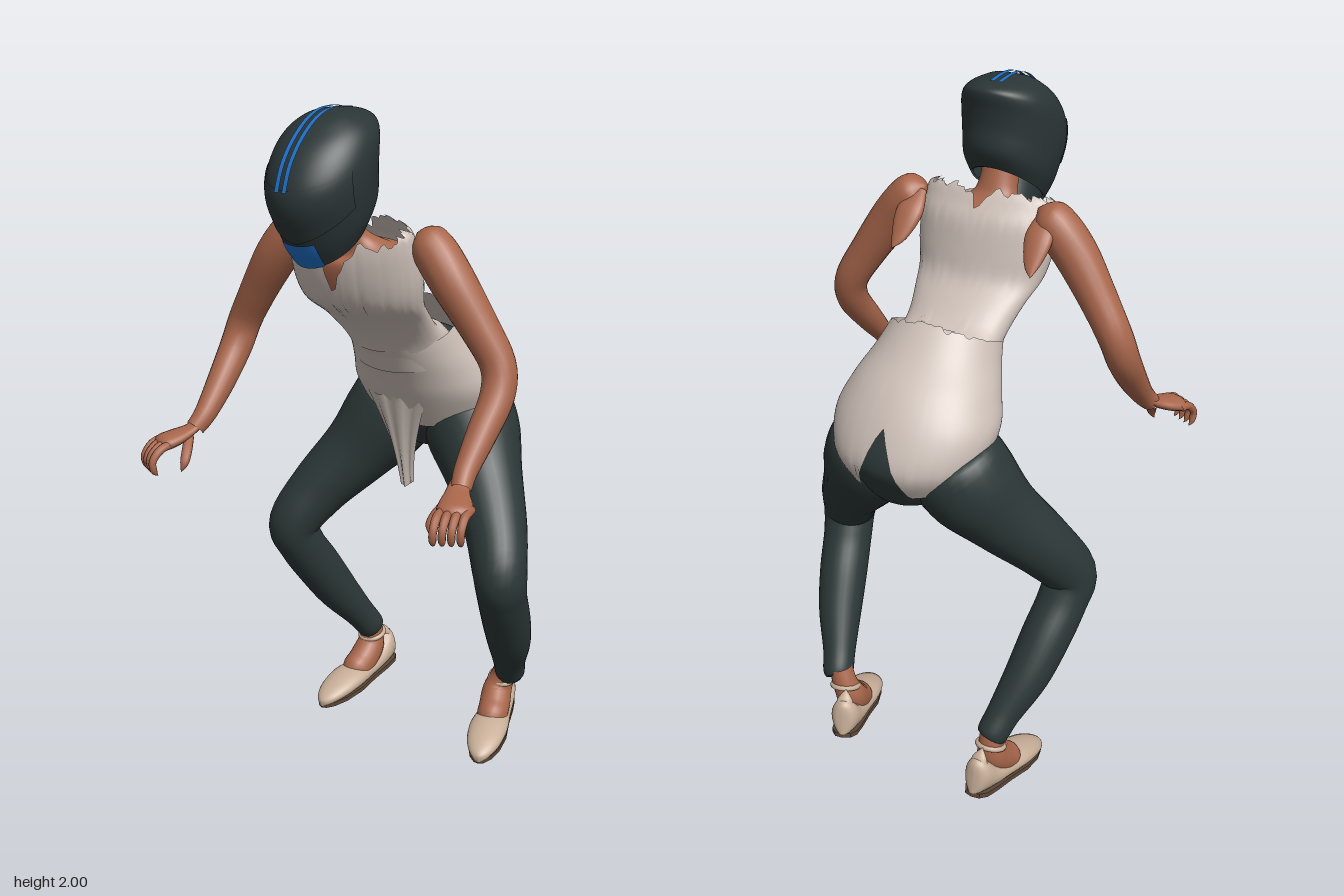
import * as THREE from 'three';
import { mergeVertices } from 'three/addons/utils/BufferGeometryUtils.js';

const PI = Math.PI;
const mat = (name, color, double) => {
  const m = new THREE.MeshStandardMaterial({ color });
  m.name = name;
  if (double) m.side = THREE.DoubleSide;
  return m;
};

// Smooth surface sampled from f(u, v), u and v in 0..1
function grid(nu, nv, f) {
  const pos = [], idx = [];
  for (let j = 0; j <= nv; j++)
    for (let i = 0; i <= nu; i++) pos.push(...f(i / nu, j / nv));
  for (let j = 0; j < nv; j++)
    for (let i = 0; i < nu; i++) {
      const a = j * (nu + 1) + i, b = a + nu + 1;
      idx.push(a, a + 1, b + 1, a, b + 1, b);
    }
  let g = new THREE.BufferGeometry();
  g.setAttribute('position', new THREE.Float32BufferAttribute(pos, 3));
  g.setIndex(idx);
  g = mergeVertices(g, 1e-5);
  g.computeVertexNormals();
  return g;
}

// Catmull-Rom interpolation through rows of numbers
function mix(rows, t) {
  const n = rows.length - 1, i = Math.max(0, Math.min(n - 1, Math.floor(t))), f = t - i;
  const at = k => rows[Math.max(0, Math.min(n, k))];
  return rows[0].map((_, c) => {
    const [a, b, d, e] = [at(i - 1)[c], at(i)[c], at(i + 1)[c], at(i + 2)[c]];
    return b + 0.5 * f * (d - a + f * (2 * a - 5 * b + 4 * d - e + f * (3 * (b - d) + e - a)));
  });
}

// Tilted body rings [frontZ, frontY, backZ, backY, halfWidth]; a = 0 faces front
const body = (rings, cx = 0, k = 1) => (a, t) => {
  const [fz, fy, bz, by, w] = mix(rings, t), c = Math.cos(a) * k / 2;
  return [cx + w * k * Math.sin(a), (fy + by) / 2 + (fy - by) * c, (fz + bz) / 2 + (fz - bz) * c];
};
const wrap = (P, t0, t1, nu = 96, nv = 30) => grid(nu, nv, (u, v) => {
  const a = (u * 2 - 1) * PI, lo = t0(a), hi = t1(a);
  return P(a, lo + (hi - lo) * v);
});
// Slightly tighter copy of body rings
const tighten = (rings, d) => rings.map(([fz, fy, bz, by, w]) => [fz - d, fy, bz + d, by, w * 0.94]);

// Round limb through points [x, y, z, radius], flattened by k
function limb(pts, k = 1, ref = [1, 0, 0], nu = 20, per = 5) {
  const n = pts.length - 1, R = new THREE.Vector3(...ref);
  return grid(nu, n * per, (u, v) => {
    const t = v * n, p = mix(pts, t), q = mix(pts, Math.min(n, t + 0.05)), o = mix(pts, Math.max(0, t - 0.05));
    const T = new THREE.Vector3(q[0] - o[0], q[1] - o[1], q[2] - o[2]).normalize();
    const B = new THREE.Vector3().crossVectors(T, R).normalize();
    const N = new THREE.Vector3().crossVectors(B, T);
    const a = (u % 1) * 2 * PI, r = Math.max(0, p[3]), c = Math.cos(a) * r, s = Math.sin(a) * r * k;
    return [p[0] + N.x * c + B.x * s, p[1] + N.y * c + B.y * s, p[2] + N.z * c + B.z * s];
  });
}

export function createModel() {
  const root = new THREE.Group();
  const skin = mat('skin', 0xa8664b), shirt = mat('shirt cloth', 0xccbfb7, true);
  const dark = mat('trouser cloth', 0x2c3737), shell = mat('helmet shell', 0x2b3536, true);
  const blue = mat('blue trim', 0x2070c8, true), shoe = mat('shoe', 0xc7ae98), sole = mat('sole', 0x5c4838);
  const add = (name, g, m, parent = root) => {
    const mesh = new THREE.Mesh(g, m);
    mesh.name = name;
    parent.add(mesh);
    return mesh;
  };
  const bump = (x, c, w) => Math.exp(-(((x - c) / w) ** 2));
  const vee = (x, w) => Math.max(0, 1 - x / w);
  const jag = a => 0.16 * Math.sin(17 * a) + 0.12 * Math.sin(31 * a + 1);

  // Helmet, visor and blue trim
  const helmet = [[.335, 1.59, .12, 1.755, .104], [.37, 1.635, .095, 1.81, .126], [.40, 1.69, .1, 1.875, .138],
    [.427, 1.745, .097, 1.925, .143], [.432, 1.80, .09, 1.965, .141], [.41, 1.86, .096, 1.984, .131],
    [.375, 1.91, .125, 1.994, .112], [.33, 1.95, .17, 1.998, .083], [.29, 1.977, .215, 2.0, .047], [.255, 1.99, .255, 1.99, 0]];
  const head = k => body(helmet, -0.013, k);
  add('helmet', wrap(head(1), () => 0, () => 9, 64, 45), shell);
  add('helmetLining', wrap(head(0.93), () => 0.1, () => 2, 40, 6), shell);
  add('visor', grid(30, 14, (u, v) => {
    const a = (u * 2 - 1) * 1.25;
    return head(1.02)(a, 1.5 + 0.5 * Math.abs(a) + v * (2.7 - 0.5 * Math.abs(a)));
  }), shell);
  add('chinTrim', grid(16, 6, (u, v) => head(1.03)((u * 2 - 1) * (0.5 - 0.1 * v), v * 1.45)), blue);
  const crest = [[.435, 1.80], [.412, 1.86], [.377, 1.91], [.332, 1.952], [.29, 1.979], [.245, 1.995], [.19, 1.999], [.13, 1.994]];
  for (const x of [-0.034, -0.009])
    add('helmetStripe', grid(1, 40, (u, v) => {
      const [z, y] = mix(crest, v * 7);
      return [x + (u - 0.5) * 0.014, y + 0.004, z + 0.004];
    }), blue);

  // Upper body and neck under the torn top
  const chest = [[-.01, 1.22, -.24, 1.30, .165], [.02, 1.27, -.185, 1.355, .152], [.06, 1.33, -.12, 1.375, .155],
    [.13, 1.40, -.06, 1.42, .172], [.20, 1.45, -.01, 1.47, .192], [.23, 1.51, .01, 1.54, .207], [.245, 1.58, .03, 1.62, .21],
    [.245, 1.625, .06, 1.665, .205], [.24, 1.65, .085, 1.70, .195], [.24, 1.66, .11, 1.715, .15]];
  const neck = [...tighten(chest.slice(2, 7), 0.008),
    [.215, 1.60, .09, 1.64, .15], [.215, 1.625, .13, 1.665, .085], [.24, 1.67, .15, 1.70, .058], [.30, 1.78, .19, 1.82, .058]];
  add('upperBodySkin', wrap(body(neck), () => 0, () => 8, 48, 40), skin);
  add('tornTop', wrap(body(chest), a => Math.min(1.6, 5 * vee(PI - Math.abs(a), 0.5)), a => {
    const b = Math.abs(a);
    return 8.1 - 0.9 * bump(b, 0.75, 0.45) + 0.3 * bump(b, 1.5, 0.25) - 3.2 * vee(b, 0.42) - 1.2 * vee(PI - b, 0.25) + 1.6 * jag(a);
  }), shirt);

  // Hips: trousers beneath the torn lower shirt
  const hips = [[-.13, 1.03, -.45, .99, .19], [-.10, 1.08, -.487, 1.07, .226], [-.065, 1.14, -.45, 1.17, .241],
    [-.03, 1.20, -.385, 1.26, .215], [.012, 1.26, -.30, 1.335, .182], [.045, 1.30, -.222, 1.41, .16]];
  const inner = [[-.28, .93, -.28, .93, 0], [-.2, .95, -.39, .93, .1], ...tighten(hips.slice(0, 4), 0.014),
    [-.06, 1.24, -.26, 1.32, .1], [-.14, 1.28, -.18, 1.31, 0]];
  add('trouserSeat', wrap(body(inner), () => 0, () => 7, 48, 40), dark);
  add('lowerShirt', wrap(body(hips), a => {
    const b = Math.abs(a);
    return bump(b, 1.4, 0.5) + 2.2 * vee(PI - b, 0.42) + 0.2 * jag(a);
  }, a => 4.75 + (0.2 + 0.7 * jag(a)) * bump(Math.abs(a), PI, 0.9) + 0.25 * bump(Math.abs(a), PI, 0.2)), shirt);
  // Hanging scrap at the front
  add('frontFlap', grid(12, 16, (u, v) => {
    const s = u * 2 - 1, w = 0.024 + 0.08 * v ** 1.5;
    return [-0.028 + 0.01 * v + s * w, 0.812 + 0.31 * v + 0.02 * Math.abs(s) * (1 - v), -0.155 + 0.078 * v - 0.02 * s * s + 0.006 * Math.sin(9 * s)];
  }), shirt);

  const armPts = [[.18, 1.67, .11, 0], [.205, 1.655, .11, .048], [.24, 1.625, .112, .062], [.30, 1.55, .115, .063], [.375, 1.44, .105, .055],
    [.435, 1.34, .098, .05], [.452, 1.26, .125, .048], [.45, 1.17, .2, .042], [.45, 1.09, .275, .033], [.46, 1.05, .315, .028]];
  const legPts = [[.09, 1.10, -.29, 0], [.10, 1.07, -.29, .125], [.145, .99, -.27, .142], [.22, .88, -.215, .115], [.31, .76, -.135, .094],
    [.367, .65, -.07, .08], [.362, .57, -.095, .074], [.343, .47, -.16, .073], [.32, .37, -.225, .066], [.285, .27, -.295, .05],
    [.265, .205, -.34, .042], [.263, .203, -.342, 0]];
  for (const s of [1, -1]) {
    const side = s > 0 ? 'left' : 'right';
    const at = (pts, d) => pts.map(([x, y, z, r]) => [s * x + d, y, z, r]);
    // Arm with a shoulder-blade flap
    add(side + 'Arm', limb(at(armPts, 0.008)), skin);
    add(side + 'ShoulderFlap', limb(at([[.2, 1.66, .1, .02], [.207, 1.61, .05, .042], [.213, 1.55, 0, .025], [.222, 1.52, -.03, 0]], 0), 0.5), skin);

    // Hand: palm, four curled fingers and a thumb
    const hand = new THREE.Group();
    hand.name = side + 'Hand';
    root.add(hand);
    add('palm', limb(at([[.452, 1.065, .295, .026], [.465, 1.045, .33, .034], [.485, 1.03, .37, .046], [.502, 1.02, .405, .044], [.51, 1.01, .425, 0]], 0.002),
      0.45, [0.85 * s, 0, -0.5], 16), skin, hand);
    for (let i = 0; i < 4; i++) {
      const x = 0.466 + i * 0.021, z = 0.428 - i * 0.012;
      add('finger', limb(at([[x, 1.022, z - .03, .012], [x + .008, 1.015, z + .015, .0125], [x + .015, .985, z + .044, .011],
        [x + .013, .955, z + .042, .0095], [x + .008, .94, z + .03, 0]], 0.002), 1, [1, 0, 0], 10, 4), skin, hand);
    }
    add('thumb', limb(at([[.455, 1.03, .34, .014], [.435, 1.0, .375, .015], [.425, .97, .40, .012], [.43, .945, .41, 0]], 0.002),
      1, [1, 0, 0], 10, 4), skin, hand);

    // Trouser leg; the left foot stands a little further forward
    const stance = legPts.map(([x, y, z, r]) => [x, y, z + (s > 0 ? 0.05 : -0.03) * Math.max(0, 0.6 - y), r]);
    add(side + 'TrouserLeg', limb(at(stance, s > 0 ? 0 : -0.022), 1, [1, 0, 0], 28), dark);

    // Foot: heel at the origin, toe along +z
    const foot = new THREE.Group();
    foot.name = side + 'Foot';
    foot.rotation.set(0.14, s > 0 ? 0.32 : -0.06, 0, 'YXZ');
    foot.position.set(s > 0 ? 0.19 : -0.285, 0.06, s > 0 ? -0.42 : -0.462);
    root.add(foot);
    const last = [[0, 0, .08], [.006, .026, .105], [.03, .042, .115], [.08, .048, .08], [.15, .051, .062],
      [.23, .06, .066], [.3, .053, .055], [.345, .036, .04], [.368, .017, .026], [.374, 0, .016]];
    add('shoe', grid(24, 36, (u, v) => {
      const [z, w, h] = mix(last, v * 9), a = u * 2 * PI;
      return [Math.max(0, w) * Math.cos(a), 0.004 + h / 2 * (1 + Math.sin(a)), z];
    }), shoe, foot);
    add('ankleAndInstep', limb([[s > 0 ? .03 : 0, .19, .092, .035], [s > 0 ? .015 : 0, .14, .09, .038], [0, .095, .105, .046], [0, .062, .15, .048],
      [0, .045, .2, .043], [0, .035, .25, 0]]), skin, foot);
    const strap = add('ankleStrap', new THREE.TorusGeometry(0.039, 0.008, 8, 28), shoe, foot);
    strap.rotation.x = PI / 2 + 0.15;
    strap.position.set(s > 0 ? 0.014 : 0, 0.135, 0.088);
    add('heelTab', limb([[0, .07, .025, .03], [0, .115, .03, .024], [0, .145, .042, 0]], 0.6), shoe, foot);
    const outline = [...last.map(([z, w]) => [w * 0.93, -z]), ...last.slice(1, -1).reverse().map(([z, w]) => [-w * 0.93, -z])];
    const plate = add('sole', new THREE.ExtrudeGeometry(new THREE.Shape(outline.map(p => new THREE.Vector2(...p))),
      { depth: 0.014, bevelEnabled: false }), sole, foot);
    plate.rotation.x = -PI / 2;
  }
  return root;
}
